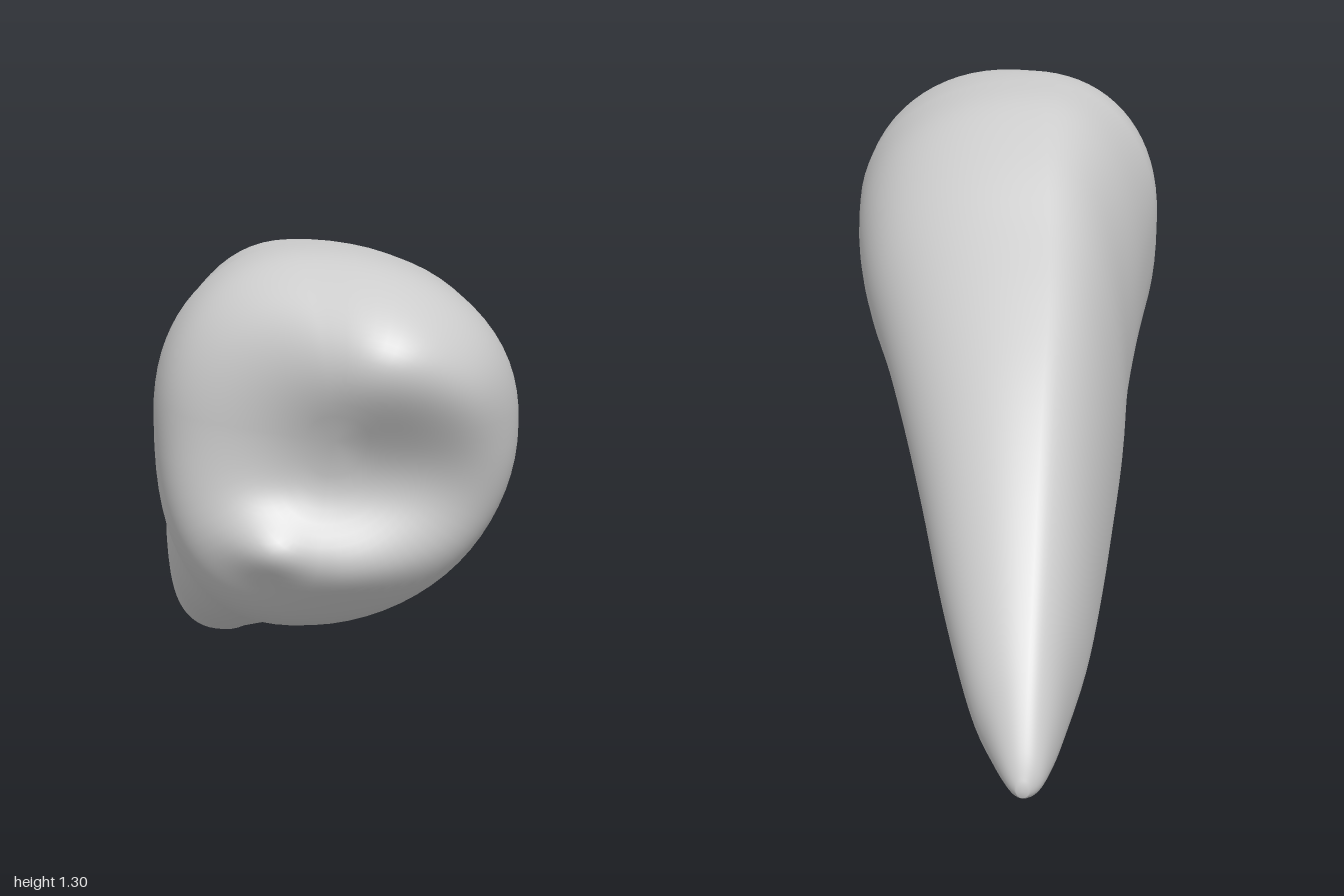
import * as THREE from 'three';

const SEG = 72, STEPS = 5;

// Cross-sections from root tip to the widest part of the crown:
// z, xMin, xMax, yMin, yMax, x of top/bottom apex, y of widest point (left edge, right edge),
// fullness of the lower-left, lower-right and upper-left quarters
const SECTIONS = [
  [-1.0, -0.145, -0.115, 0.03, 0.065, -0.13, 0.048, 0.048, 2, 2, 2],
  [-0.97, -0.175, -0.085, 0.015, 0.13, -0.13, 0.065, 0.075, 2.1, 2, 2],
  [-0.9, -0.2, -0.04, 0.007, 0.24, -0.13, 0.1, 0.13, 2.3, 2, 2],
  [-0.8, -0.225, 0.015, 0.003, 0.37, -0.13, 0.15, 0.21, 2.4, 1.9, 2],
  [-0.6, -0.268, 0.09, 0.035, 0.6, -0.13, 0.23, 0.37, 2.5, 1.75, 2],
  [-0.4, -0.295, 0.152, 0.08, 0.79, -0.13, 0.32, 0.52, 2.5, 1.6, 2.05],
  [-0.2, -0.317, 0.215, 0.15, 0.94, -0.13, 0.42, 0.65, 2.4, 1.55, 2.1],
  [0.0, -0.335, 0.28, 0.22, 1.07, -0.12, 0.52, 0.76, 2.4, 1.55, 2.1],
  [0.2, -0.345, 0.345, 0.29, 1.2, -0.1, 0.65, 0.85, 2.4, 1.7, 2.15],
  [0.4, -0.375, 0.385, 0.355, 1.285, -0.08, 0.8, 0.9, 2.4, 1.9, 2.2],
  [0.6, -0.41, 0.405, 0.41, 1.305, -0.06, 0.92, 0.92, 2.5, 2, 2.2],
];

function catmull(a, b, c, d, t) {
  return 0.5 * (2 * b + (c - a) * t + (2 * a - 5 * b + 4 * c - d) * t * t + (3 * b - a - 3 * c + d) * t * t * t);
}

// Egg-shaped outline: four superellipse quarters; the widest points may differ in height
function outline(s, angle) {
  const [z, x0, x1, y0, y1, cx, leftY, rightY, lowLeft, lowRight, upLeft] = s;
  const c = Math.cos(angle), n = Math.sin(angle);
  const cy = c < 0 ? leftY : rightY;
  const e = n >= 0 ? (c < 0 ? upLeft : 2.15) : c < 0 ? lowLeft : lowRight;
  return [
    cx + (c >= 0 ? x1 - cx : x0 - cx) * Math.abs(c) ** (2 / e),
    cy + (n >= 0 ? y1 - cy : y0 - cy) * Math.abs(n) ** (2 / e),
    z,
  ];
}

// Biting surface: a broad upper cusp, a lower ridge with a small cusp, and a right margin
function biteHeight(x, y) {
  const bump = (h, cx, cy, sx, sy) => h * Math.exp(-(((x - cx) / sx) ** 2) - ((y - cy) / sy) ** 2);
  return 0.85
    + bump(0.17, 0.07, 1.11, 0.22, 0.21)
    + bump(0.06, 0.28, 1.02, 0.13, 0.17)
    + bump(0.09, 0, 0.62, 0.25, 0.14)
    + bump(0.05, -0.19, 0.67, 0.09, 0.08)
    + bump(0.03, 0.32, 0.82, 0.13, 0.15);
}

function toothGeometry() {
  const rings = [];
  const angles = Array.from({ length: SEG }, (_, j) => (j / SEG) * Math.PI * 2);

  // Root and neck
  const last = SECTIONS.length - 1;
  for (let k = 0; k <= last * STEPS; k++) {
    const i = Math.min(Math.floor(k / STEPS), last - 1), t = k / STEPS - i;
    const at = (n) => SECTIONS[Math.max(0, Math.min(last, n))];
    const s = SECTIONS[0].map((_, p) => catmull(at(i - 1)[p], at(i)[p], at(i + 1)[p], at(i + 2)[p], t));
    rings.push(angles.map((a) => outline(s, a)));
  }

  // Crown: rings shrink inward while rising onto the biting surface; the underside keeps its slope
  const rim = SECTIONS[last], [cx, cy] = [-0.04, 0.92], z0 = rim[0], CAP = 32;
  for (let k = 1; k < CAP; k++) {
    const r = Math.cos((k / CAP) * Math.PI / 2) ** 0.6;
    rings.push(angles.map((a) => {
      const [bx, by] = outline(rim, a);
      const x = cx + (bx - cx) * r, y = cy + (by - cy) * r;
      const under = Math.max(0, -Math.sin(a));
      const n = 3 + 2 * Math.max(0, Math.cos(a)) + 2 * under;
      const lift = (biteHeight(x, y) - z0) * (1 - r ** n) ** (1 / n);
      return [x, y + 0.27 * lift * under * r ** 3, z0 + lift];
    }));
  }

  const points = rings.flat();
  const tip = points.push([-0.13, 0.048, -1.003]) - 1;
  const centre = points.push([cx, cy, biteHeight(cx, cy)]) - 1;
  const index = [];
  const end = (rings.length - 1) * SEG;
  for (let j = 0; j < SEG; j++) {
    const m = (j + 1) % SEG;
    index.push(tip, m, j, centre, end + j, end + m);
    for (let o = 0; o < end; o += SEG) {
      index.push(o + j, o + m, o + SEG + m, o + j, o + SEG + m, o + SEG + j);
    }
  }
  const geometry = new THREE.BufferGeometry();
  geometry.setAttribute('position', new THREE.Float32BufferAttribute(points.flat(), 3));
  geometry.setIndex(index);
  geometry.computeVertexNormals();
  return geometry;
}

export function createModel() {
  const group = new THREE.Group();
  group.name = 'tooth';
  const enamel = new THREE.MeshStandardMaterial({ color: 0xcccccc });
  enamel.name = 'grey enamel';
  const tooth = new THREE.Mesh(toothGeometry(), enamel);
  tooth.name = 'crownAndRoot';
  group.add(tooth);
  return group;
}
